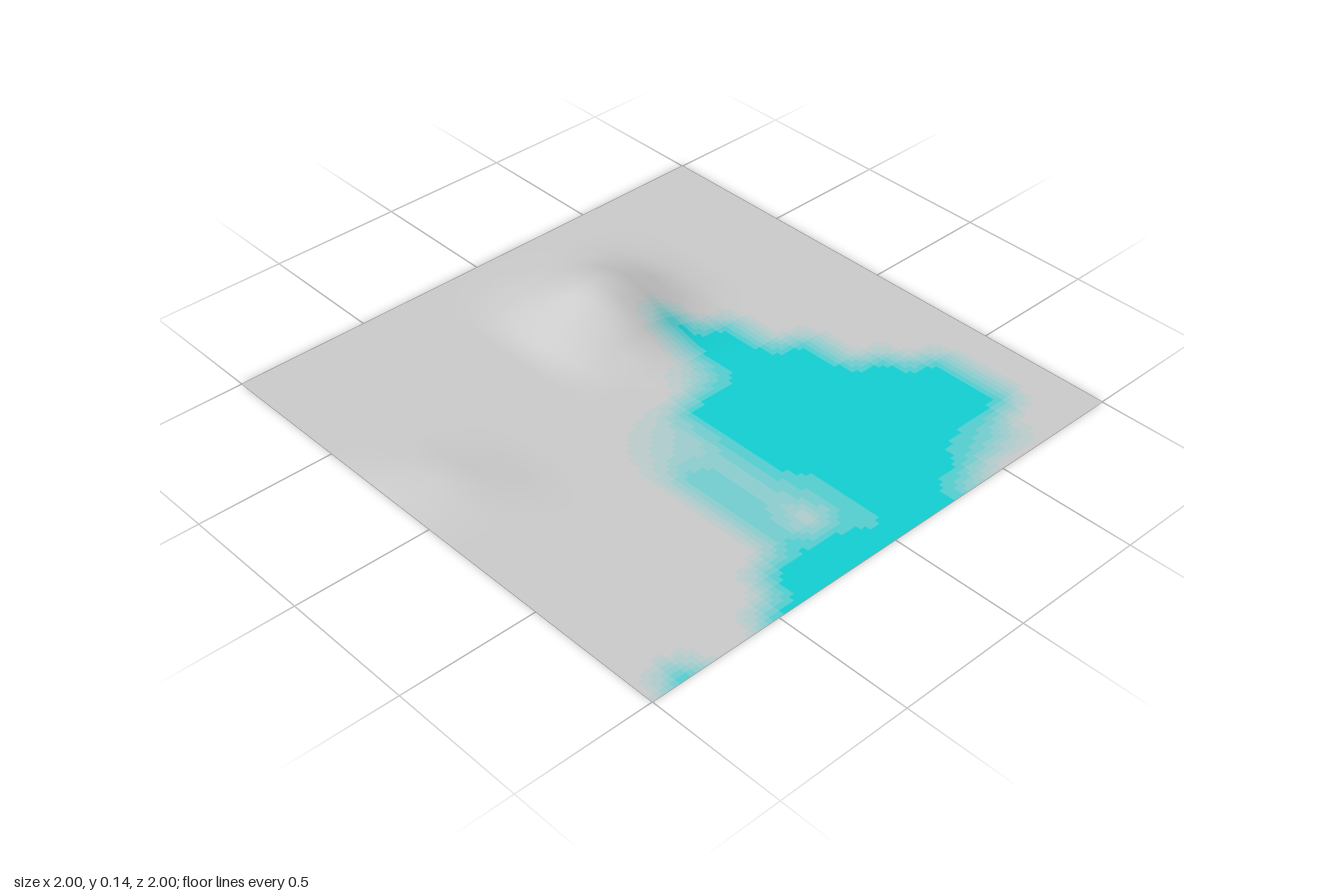
import * as THREE from 'three';

const CELLS = 16;  // coarse terrain grid
const FINE = 96;   // fine grid used to follow the soft shoreline
const TONES = 8;   // shades between land and lake

// Hill heights in thousandths: [row, first column, heights]
const HILLS = [
  [5, 2, [20, 30, 40, 20, 0]],
  [6, 2, [30, 80, 110, 85, 35]],
  [7, 2, [30, 95, 140, 130, 60]],
  [8, 2, [10, 60, 130, 140, 60]],
  [14, 6, [15, 30, 25]],
  [15, 6, [25, 30, 15]],
];

// Water amount 0-9: [row, first column, amounts running east]
const WATER = [
  [2, 12, '999'],
  [3, 11, '99995'],
  [4, 9, '9999997'],
  [5, 7, '9999999994'],
  [6, 6, '99999999999'],
  [7, 8, '499999999'],
  [8, 9, '99998889'],
  [8, 16, '9'],
  [9, 9, '34555299'],
  [10, 9, '13777799'],
  [11, 15, '99'],
  [12, 16, '9'],
  [15, 16, '9'],
];

function field(rows, scale) {
  const grid = new Float32Array((CELLS + 1) ** 2);
  for (const [row, col, values] of rows) {
    [...values].forEach((v, k) => { grid[row * (CELLS + 1) + col + k] = Number(v) * scale; });
  }
  return grid;
}

// Bilinear lookup at u, v in 0..1
function sample(get, u, v) {
  const i = Math.min(CELLS - 1, Math.floor(u * CELLS));
  const j = Math.min(CELLS - 1, Math.floor(v * CELLS));
  const a = u * CELLS - i, b = v * CELLS - j, n = j * (CELLS + 1) + i;
  return (get(n) * (1 - a) + get(n + 1) * a) * (1 - b)
    + (get(n + CELLS + 1) * (1 - a) + get(n + CELLS + 2) * a) * b;
}

function flatGrid(segments) {
  return new THREE.PlaneGeometry(2, 2, segments, segments).rotateX(-Math.PI / 2);
}

export function createModel() {
  const group = new THREE.Group();
  group.name = 'terrain';
  const heights = field(HILLS, 0.001);
  const water = field(WATER, 1 / 9);

  // Coarse surface supplies the smooth normals
  const coarse = flatGrid(CELLS);
  heights.forEach((h, n) => coarse.attributes.position.setY(n, h));
  coarse.computeVertexNormals();
  const cn = coarse.attributes.normal;

  // Fine surface follows the coarse one
  const fine = flatGrid(FINE);
  const p = fine.attributes.position, normal = fine.attributes.normal;
  for (let n = 0; n < p.count; n++) {
    const u = (n % (FINE + 1)) / FINE, v = Math.floor(n / (FINE + 1)) / FINE;
    p.setY(n, sample((k) => heights[k], u, v));
    const d = new THREE.Vector3(
      sample((k) => cn.getX(k), u, v),
      sample((k) => cn.getY(k), u, v),
      sample((k) => cn.getZ(k), u, v)).normalize();
    normal.setXYZ(n, d.x, d.y, d.z);
  }

  // Sort the squares into land, shore shades and lake
  const faces = Array.from({ length: TONES }, () => []);
  for (let j = 0; j < FINE; j++) {
    for (let i = 0; i < FINE; i++) {
      const w = sample((k) => water[k], (i + 0.5) / FINE, (j + 0.5) / FINE);
      const a = j * (FINE + 1) + i, b = a + FINE + 1;
      faces[Math.round(w * (TONES - 1))].push(a, b, a + 1, b, b + 1, a + 1);
    }
  }

  // One mesh per shade
  const landColor = new THREE.Color(0xcccccc), lakeColor = new THREE.Color(0x12d0d2);
  faces.forEach((index, tone) => {
    if (!index.length) return;
    const geometry = new THREE.BufferGeometry();
    geometry.setAttribute('position', p);
    geometry.setAttribute('normal', normal);
    geometry.setIndex(index);
    const mesh = new THREE.Mesh(geometry, new THREE.MeshStandardMaterial({
      color: landColor.clone().lerp(lakeColor, tone / (TONES - 1)),
      side: THREE.DoubleSide,
    }));
    mesh.name = tone === 0 ? 'land' : tone === TONES - 1 ? 'lake' : `shore${tone}`;
    group.add(mesh);
  });
  return group;
}
